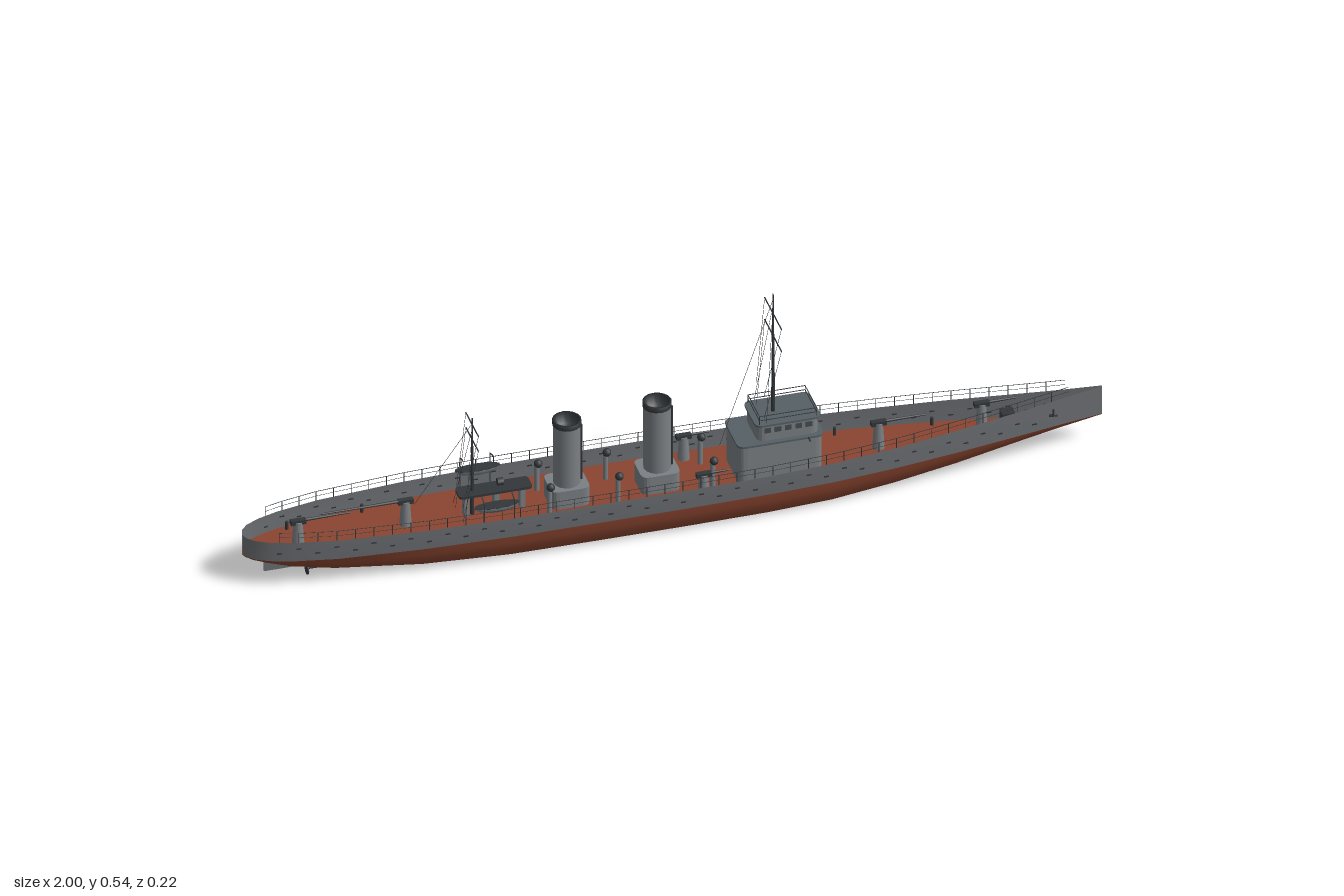
import * as THREE from 'three';
import { mergeGeometries } from 'three/addons/utils/BufferGeometryUtils.js';

const paint = (name, color, side = THREE.FrontSide) => {
  const m = new THREE.MeshStandardMaterial({ color, side });
  m.name = name;
  return m;
};
const V = (x, y, z) => new THREE.Vector3(x, y, z);

// Hull stations: x, half beam, keel height, rim height, fullness of section
const stations = [
  [-1, 0.002, 0.066, 0.12, 0.3], [-0.995, 0.018, 0.063, 0.12, 0.35], [-0.98, 0.034, 0.057, 0.12, 0.4],
  [-0.95, 0.05, 0.048, 0.12, 0.45], [-0.9, 0.066, 0.034, 0.12, 0.5], [-0.8, 0.085, 0.019, 0.12, 0.65],
  [-0.6, 0.102, 0.006, 0.12, 0.9], [-0.4, 0.109, 0.001, 0.12, 1], [-0.2, 0.11, 0, 0.12, 1],
  [0, 0.11, 0, 0.12, 1], [0.2, 0.107, 0, 0.12, 1], [0.35, 0.1, 0.001, 0.122, 0.95],
  [0.5, 0.084, 0.007, 0.125, 0.8], [0.65, 0.062, 0.018, 0.13, 0.6], [0.8, 0.036, 0.037, 0.135, 0.35],
  [0.9, 0.018, 0.052, 0.139, 0.15], [0.96, 0.008, 0.061, 0.142, 0], [1, 0.001, 0.068, 0.144, 0],
];
const WATER = 0.07, DECK = 0.076;
// Column c of the station table at any x
function at(x, c) {
  let i = 1;
  while (i < stations.length - 1 && stations[i][0] < x) i++;
  const a = stations[i - 1], b = stations[i];
  return THREE.MathUtils.lerp(a[c], b[c], (x - a[0]) / (b[0] - a[0]));
}

// Surface through rows of points
function loft(rows) {
  const n = rows[0].length, index = [];
  for (let i = 0; i < rows.length - 1; i++) for (let j = 0; j < n - 1; j++) {
    const a = i * n + j, b = a + n;
    index.push(a, a + 1, b, b, a + 1, b + 1);
  }
  const g = new THREE.BufferGeometry().setFromPoints(rows.flat());
  g.setIndex(index);
  g.computeVertexNormals();
  return g;
}

// Thin round bar between two points
function bar([a, b, r = 0.001]) {
  const d = b.clone().sub(a);
  const g = new THREE.CylinderGeometry(r, r, d.length(), 5);
  g.applyQuaternion(new THREE.Quaternion().setFromUnitVectors(V(0, 1, 0), d.clone().normalize()));
  const m = a.clone().add(b).multiplyScalar(0.5);
  return g.translate(m.x, m.y, m.z);
}

export function createModel() {
  const ship = new THREE.Group();
  ship.name = 'warship';
  const gray = paint('hull gray', 0x6b6e72, THREE.DoubleSide);
  const house = paint('house gray', 0x7b8084);
  const roofGray = paint('roof gray', 0x566064);
  const red = paint('red brown', 0x8a4530, THREE.DoubleSide);
  const dark = paint('dark fittings', 0x33373a);
  const glass = paint('window dark', 0x454b50);
  const add = (name, geo, mat, x = 0, y = 0, z = 0, parent = ship) => {
    const m = new THREE.Mesh(geo, mat);
    m.name = name;
    m.position.set(x, y, z);
    parent.add(m);
    return m;
  };
  const box = (name, w, h, d, mat, x, y, z, parent) => add(name, new THREE.BoxGeometry(w, h, d), mat, x, y, z, parent);
  const bars = (name, list, mat = dark) => add(name, mergeGeometries(list.map(bar)), mat);

  // Underwater hull, blending a full section into a V at the ends
  const full = [[0, 0], [0.56, 0], [0.78, 0.1], [0.91, 0.42], [0.97, 0.72], [1, 1]];
  const vee = [[0, 0], [0.2, 0.1], [0.42, 0.28], [0.65, 0.5], [0.84, 0.74], [1, 1]];
  const lower = stations.map(([x, w, keel, , f]) => {
    const half = full.map((p, i) => [
      w * 0.98 * THREE.MathUtils.lerp(vee[i][0], p[0], f),
      keel + (WATER - keel) * THREE.MathUtils.lerp(vee[i][1], p[1], f)]);
    return [...half.slice().reverse().map(([z, y]) => V(x, y, z)), ...half.slice(1).map(([z, y]) => V(x, y, -z))];
  });
  add('lowerHull', loft(lower), red);

  // Topsides and deck
  add('leftTopside', loft(stations.map(([x, w, , rim]) => [V(x, rim, w), V(x, 0.1, w), V(x, WATER, w * 0.98)])), gray);
  add('rightTopside', loft(stations.map(([x, w, , rim]) => [V(x, WATER, -w * 0.98), V(x, 0.1, -w), V(x, rim, -w)])), gray);
  add('deck', loft(stations.map(([x, w]) => [V(x, DECK, -w * 0.98), V(x, DECK, w * 0.98)])), red);

  // Rudder and propellers
  box('rudder', 0.07, 0.045, 0.006, gray, -0.915, 0.036, 0);
  for (const s of [-1, 1]) {
    bars('propellerShaft', [[V(-0.72, 0.025, s * 0.035), V(-0.86, 0.026, s * 0.035), 0.003]]);
    add('propeller', new THREE.CylinderGeometry(0.015, 0.015, 0.003, 12).rotateZ(Math.PI / 2), dark, -0.86, 0.026, s * 0.035);
  }

  // Portholes, rail and anchors on both sides
  const rail = [], ports = [];
  for (const s of [-1, 1]) {
    for (let i = 0; i < 44; i++) {
      const x = -0.93 + i * 0.042, nx = x + 0.042;
      const p = (px, h) => V(px, at(px, 3) + h, s * at(px, 1) * 0.985);
      rail.push([p(x, 0), p(x, 0.025)], [p(x, 0.025), p(nx, 0.025), 0.0007], [p(x, 0.013), p(nx, 0.013), 0.0005]);
      const y = i % 2 ? 0.104 : 0.091;
      ports.push(new THREE.BoxGeometry(0.011, 0.003, 0.003).translate(x, y, s * at(x, 1)));
    }
    const a = bars('anchor', [
      [V(0.88, 0.118, s * 0.024), V(0.88, 0.099, s * 0.024), 0.002],
      [V(0.87, 0.102, s * 0.025), V(0.89, 0.099, s * 0.022), 0.002]]);
    a.userData.side = s;
  }
  bars('railing', rail);
  add('portholes', mergeGeometries(ports), dark);

  // Bridge house with rounded plan
  const block = (name, x0, x1, w, y0, y1, mat, r = 0.018) => {
    const s = new THREE.Shape();
    s.moveTo(x0 + r, -w).lineTo(x1 - r, -w).quadraticCurveTo(x1, -w, x1, -w + r);
    s.lineTo(x1, w - r).quadraticCurveTo(x1, w, x1 - r, w).lineTo(x0 + r, w);
    s.quadraticCurveTo(x0, w, x0, w - r).lineTo(x0, -w + r).quadraticCurveTo(x0, -w, x0 + r, -w);
    const g = new THREE.ExtrudeGeometry(s, { depth: y1 - y0, bevelEnabled: false, curveSegments: 4 });
    return add(name, g.rotateX(-Math.PI / 2), mat, 0, y0, 0);
  };
  block('lowerHouse', 0.14, 0.335, 0.058, DECK, 0.172, house);
  block('lowerHouseRoof', 0.137, 0.338, 0.061, 0.172, 0.177, roofGray);
  block('bridge', 0.185, 0.328, 0.049, 0.177, 0.216, house);
  block('bridgeRoof', 0.18, 0.333, 0.053, 0.216, 0.221, roofGray);
  bars('bridgeWing', [[V(0.3, 0.175, -0.075), V(0.3, 0.175, 0.075), 0.0018]]);
  for (const z of [-0.028, -0.0095, 0.0095, 0.028]) box('frontWindow', 0.003, 0.013, 0.014, glass, 0.328, 0.204, z);
  for (const s of [-1, 1]) for (let i = 0; i < 5; i++)
    box('sideWindow', 0.015, 0.013, 0.003, glass, 0.208 + i * 0.024, 0.204, s * 0.049);
  const top = [];
  const corners = [[0.19, -0.046], [0.323, -0.046], [0.323, 0.046], [0.19, 0.046]];
  corners.forEach(([x, z], i) => {
    const [nx, nz] = corners[(i + 1) % 4];
    top.push([V(x, 0.22, z), V(x, 0.242, z)]);
    for (const y of [0.231, 0.242]) top.push([V(x, y, z), V(nx, y, nz)]);
  });
  bars('bridgeRail', top);

  // Funnels: open tubes with a dark rim and steam pipe
  for (const [x, h] of [[-0.245, 0.288], [-0.035, 0.298]]) {
    const r = 0.031;
    const profile = [[r, DECK], [r, h - 0.012], [r + 0.002, h - 0.012], [r + 0.002, h], [r - 0.003, h], [r - 0.003, h - 0.03], [0, h - 0.03]];
    const pts = profile.map(([a, b]) => new THREE.Vector2(a, b));
    add('funnel', new THREE.LatheGeometry(pts.slice(0, 2), 16), house, x);
    add('funnelCap', new THREE.LatheGeometry(pts.slice(1), 16), dark, x);
    bars('steamPipe', [[V(x + 0.034, DECK, 0), V(x + 0.034, h - 0.02, 0), 0.003]]);
    block('funnelBase', x - 0.045, x + 0.045, 0.04, DECK, 0.122, house);
  }

  // Masts, yards and rigging
  const mast = (x, foot, peak, yards, spread, stayX, stayY) => {
    add('mast', new THREE.CylinderGeometry(0.0015, 0.005, peak - foot, 8), dark, x, (peak + foot) / 2, 0);
    const lines = [[V(x, peak - 0.015, 0), V(stayX, stayY, 0), 0.0005]];
    for (const y of yards) {
      bars('yard', [[V(x, y, -spread), V(x, y, spread), 0.0016]]);
      for (const s of [-1, 1]) lines.push([V(x, y, s * spread), V(x - 0.03, Math.max(foot, y - 0.2), s * 0.03), 0.0005]);
    }
    for (const s of [-1, 1]) lines.push([V(x, peak - 0.03, 0), V(x - 0.03, foot, s * 0.05), 0.0005]);
    bars('rigging', lines);
  };
  mast(0.235, 0.22, 0.535, [0.482, 0.423], 0.067, 0.11, 0.15);
  mast(-0.465, DECK, 0.332, [0.315, 0.275], 0.05, -0.6, 0.125);

  // Deck guns: pedestal, mount, shield and barrel, facing dir
  const gun = (x, z, dir, len, y = 0.138) => {
    const g = new THREE.Group();
    g.name = 'gun';
    g.position.set(x, 0, z);
    if (dir < 0) g.rotation.y = Math.PI;
    ship.add(g);
    add('pedestal', new THREE.CylinderGeometry(0.01, 0.014, y - DECK, 10), house, 0, (y + DECK) / 2, 0, g);
    box('breech', 0.035, 0.011, 0.013, dark, 0, y, 0, g);
    add('barrel', new THREE.CylinderGeometry(0.002, 0.0038, len, 8).rotateZ(-Math.PI / 2), dark, len / 2, y + 0.002, 0, g);
  };
  gun(0.48, 0, 1, 0.11, 0.142);
  gun(0.72, 0, 1, 0.08, 0.148);
  gun(-0.62, 0, -1, 0.2);
  gun(-0.87, 0, 1, 0.12, 0.13);
  for (const s of [-1, 1]) gun(0.05, s * 0.08, 1, 0.06, 0.135);

  // After platform, searchlight and foredeck windlass
  block('afterPlatform', -0.5, -0.33, 0.022, 0.132, 0.138, dark, 0.01);
  for (const x of [-0.48, -0.41, -0.35]) box('platformLeg', 0.012, 0.058, 0.02, house, x, 0.104, 0);
  add('searchlight', new THREE.CylinderGeometry(0.009, 0.009, 0.014, 10).rotateZ(Math.PI / 2), dark, -0.4, 0.15, 0);
  box('windlass', 0.03, 0.04, 0.026, dark, 0.78, 0.098, 0);

  // Ship's boats on davits
  for (const s of [-1, 1]) {
    const hull = new THREE.SphereGeometry(1, 14, 6, 0, Math.PI * 2, Math.PI / 2, Math.PI / 2).scale(0.053, 0.018, 0.015);
    add('boat', hull, house, -0.43, 0.143, s * 0.078);
    add('boatCover', new THREE.CylinderGeometry(1, 1, 0.002, 14).scale(0.053, 1, 0.015), dark, -0.43, 0.143, s * 0.078);
    for (const x of [-0.465, -0.395]) bars('davit', [
      [V(x, DECK, s * 0.098), V(x, 0.162, s * 0.098), 0.0015], [V(x, 0.162, s * 0.098), V(x, 0.17, s * 0.075), 0.0015]]);
  }

  // Ventilators and bollards
  for (const s of [-1, 1]) {
    for (const x of [-0.14, 0.08, -0.3]) {
      add('ventilator', new THREE.CylinderGeometry(0.006, 0.006, 0.07, 8), house, x, 0.111, s * 0.05);
      add('ventCowl', new THREE.SphereGeometry(0.01, 10, 6), dark, x + 0.003, 0.146, s * 0.05);
    }
    for (const x of [-0.88, -0.7, 0.4, 0.62]) add('bollard', new THREE.CylinderGeometry(0.004, 0.004, 0.02, 8), dark, x, DECK + 0.01, s * at(x, 1) * 0.8);
  }
  return ship;
}
